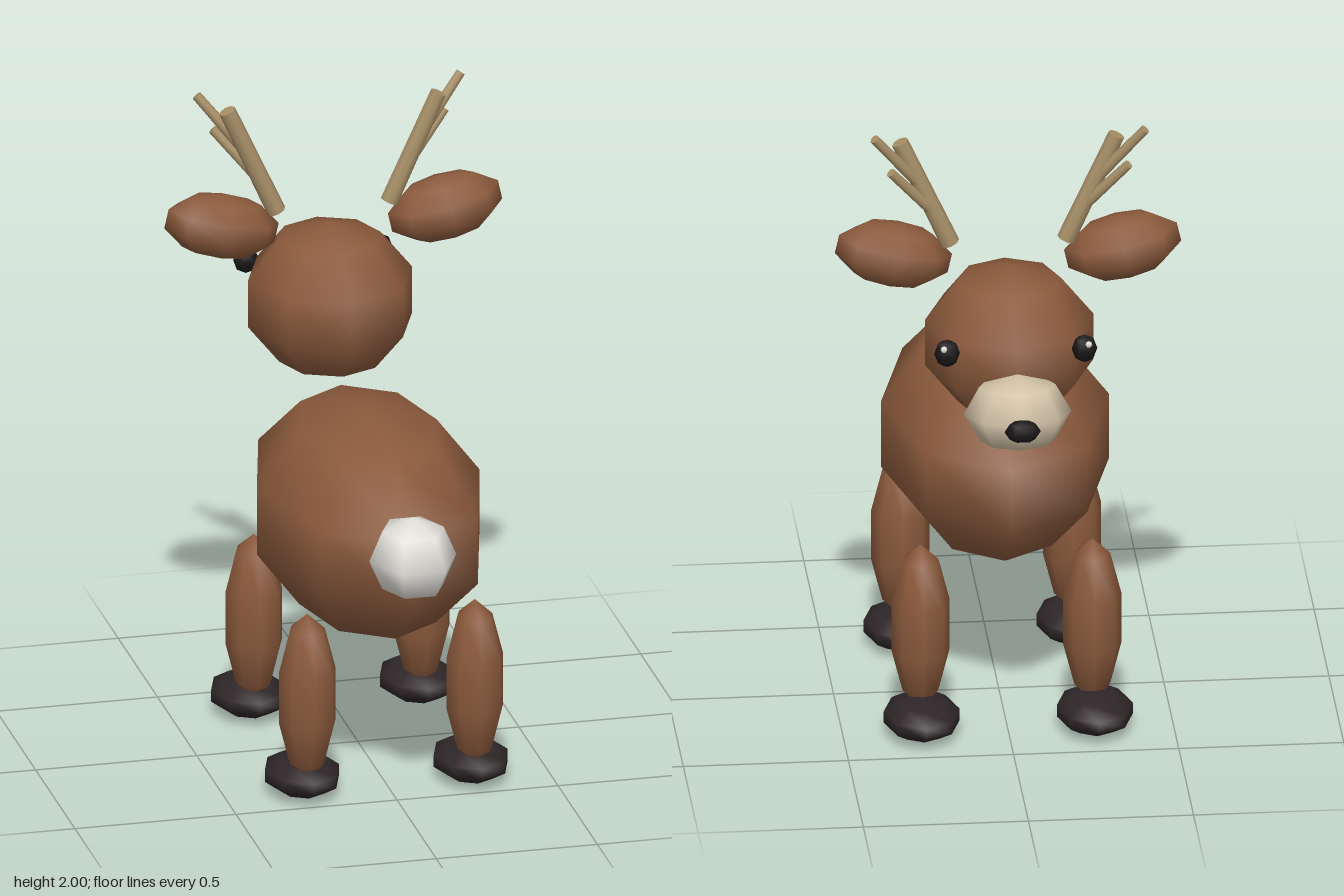
import * as THREE from 'three';

const mat = (name, color) => {
  const m = new THREE.MeshStandardMaterial({ color });
  m.name = name;
  return m;
};

export function createModel() {
  const model = new THREE.Group();
  model.name = 'deer';
  const fur = mat('brown fur', 0x8b5a3c);
  const cream = mat('cream muzzle', 0xd4c4a8);
  const white = mat('white tail', 0xe4e2dc);
  const horn = mat('tan antler', 0xa89068);
  const dark = mat('dark hoof', 0x2e2628);
  const black = mat('black eye', 0x1c1819);

  // Low-poly ellipsoid with smooth normals
  const blob = (name, material, pos, size, w = 8, h = 5, parent = model) => {
    const geo = new THREE.SphereGeometry(1, w, h);
    // start on the x axis so the outline is symmetric about both axes
    geo.scale(...size);
    const mesh = new THREE.Mesh(geo, material);
    mesh.name = name;
    mesh.position.set(...pos);
    parent.add(mesh);
    return mesh;
  };

  // Tapered rod between two points
  const rod = (name, a, b, r0, r1, parent) => {
    const from = new THREE.Vector3(...a);
    const to = new THREE.Vector3(...b);
    const dir = to.clone().sub(from);
    const mesh = new THREE.Mesh(new THREE.CylinderGeometry(r1, r0, dir.length(), 8), horn);
    mesh.name = name;
    mesh.position.copy(from).add(to).multiplyScalar(0.5);
    mesh.quaternion.setFromUnitVectors(new THREE.Vector3(0, 1, 0), dir.normalize());
    parent.add(mesh);
  };

  // Trunk, head and tail
  blob('body', fur, [0, 0.795, 0.13], [0.363, 0.345, 0.589]);
  blob('head', fur, [0, 1.307, -0.355], [0.268, 0.242, 0.284]);
  blob('tail', white, [0, 0.863, 0.7], [0.135, 0.13, 0.16], 6, 4);

  // Muzzle tilted slightly up, with the nose at its tip
  blob('muzzle', cream, [0, 1.19, -0.637], [0.163, 0.12, 0.163], 8, 4).rotation.x = 0.12;
  blob('nose', black, [0, 1.2, -0.805], [0.055, 0.036, 0.04], 6, 4);

  for (const s of [-1, 1]) {
    // Eyes with a small glint
    blob('eye', black, [s * 0.208, 1.365, -0.574], [0.039, 0.045, 0.033], 6, 4);
    blob('eyeGlint', white, [s * 0.219, 1.386, -0.595], [0.011, 0.011, 0.011], 6, 4);

    // Ears, outer tips raised
    blob('ear', fur, [s * 0.347, 1.585, -0.313], [0.184, 0.1, 0.112]).rotation.z = s * 0.22;

    // Antlers: a beam with two tines
    const antler = new THREE.Group();
    antler.name = 'antler';
    rod('antlerBeam', [s * 0.175, 1.615, -0.318], [s * 0.328, 1.953, -0.318], 0.029, 0.026, antler);
    rod('upperTine', [s * 0.265, 1.81, -0.32], [s * 0.41, 1.99, -0.372], 0.018, 0.015, antler);
    rod('lowerTine', [s * 0.225, 1.72, -0.32], [s * 0.36, 1.877, -0.372], 0.018, 0.015, antler);
    model.add(antler);

    // Legs and hooves, hooves pushed forward
    for (const [name, z] of [['front', -0.26], ['hind', 0.423]]) {
      blob(name + 'Leg', fur, [s * 0.26, 0.335, z], [0.0925, 0.265, 0.102]);
      blob(name + 'Hoof', dark, [s * 0.262, 0.062, z - 0.061], [0.121, 0.06, 0.156]);
    }
  }
  return model;
}
